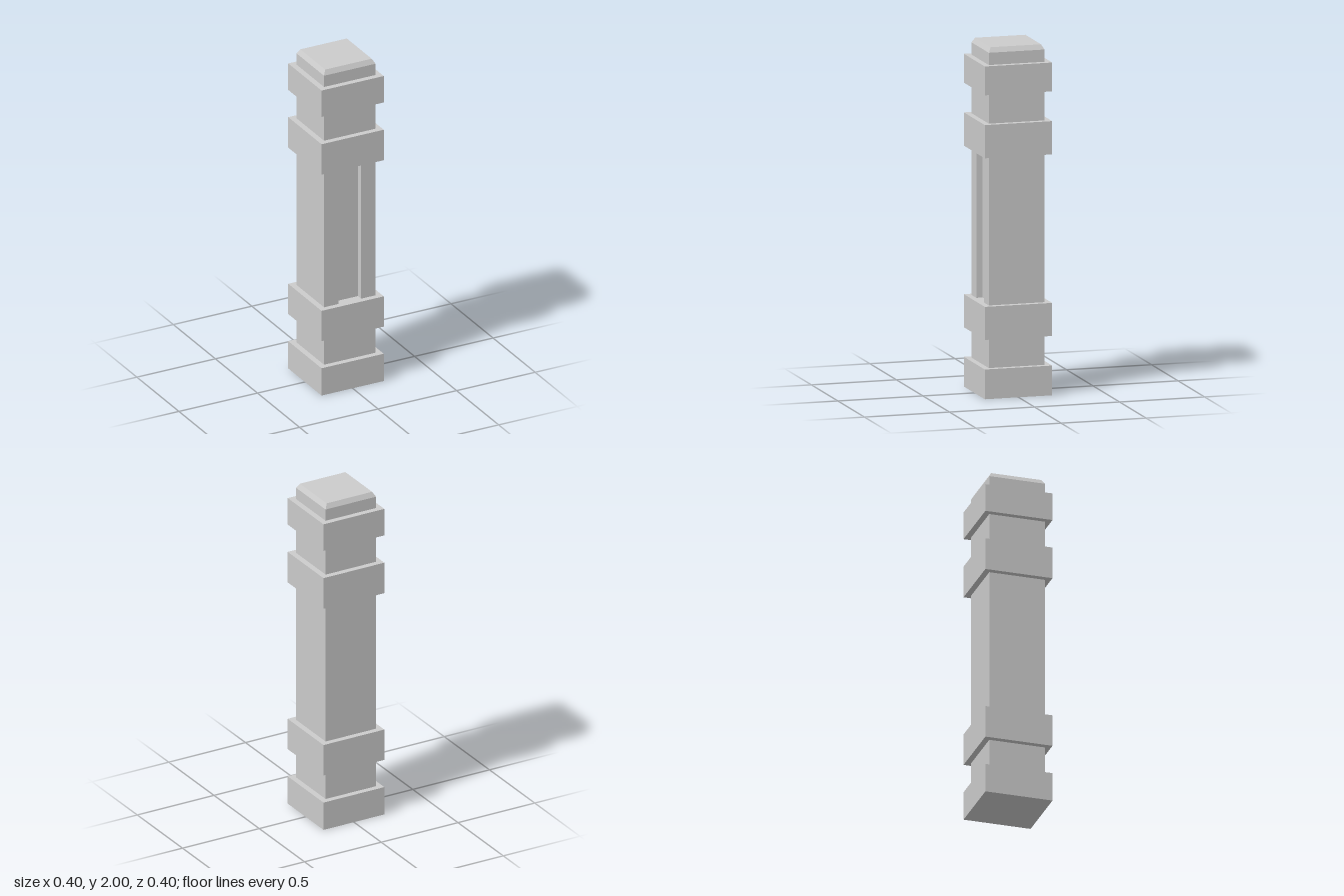
import * as THREE from 'three';

const material = new THREE.MeshStandardMaterial({ color: 0xcccccc, flatShading: true });
const BAND = 0.198; // half width of the projecting bands
const CORE = 0.164; // half width of the shaft, necks and cap

export function createModel() {
  const group = new THREE.Group();
  group.name = 'pillar';

  const add = (name, geometry, y) => {
    const mesh = new THREE.Mesh(geometry, material);
    mesh.name = name;
    mesh.position.y = y;
    group.add(mesh);
  };
  const addBlock = (name, half, y0, y1) =>
    add(name, new THREE.BoxGeometry(half * 2, y1 - y0, half * 2), (y0 + y1) / 2);

  // Stacked square blocks, bottom to top
  addBlock('base', BAND, 0, 0.17);
  addBlock('lowerNeck', CORE, 0.17, 0.339);
  addBlock('lowerBand', BAND, 0.339, 0.528);
  addBlock('upperBand', BAND, 1.377, 1.567);
  addBlock('upperNeck', CORE, 1.567, 1.737);
  addBlock('topBand', BAND, 1.737, 1.902);
  addBlock('cap', CORE, 1.902, 1.972);

  // Shaft with a vertical groove in the front face (shape y becomes -z)
  const groove = 0.072, floor = CORE - 0.038;
  const section = new THREE.Shape([
    [-CORE, CORE], [-CORE, -CORE], [-groove, -CORE], [-groove, -floor],
    [groove, -floor], [groove, -CORE], [CORE, -CORE], [CORE, CORE],
  ].map(([x, y]) => new THREE.Vector2(x, y)));
  const shaft = new THREE.ExtrudeGeometry(section, { depth: 1.377 - 0.528, bevelEnabled: false });
  shaft.rotateX(-Math.PI / 2);
  add('groovedShaft', shaft, 0.528);

  // Bevelled top of the cap: a four-sided frustum turned square to the axes
  const bevel = new THREE.CylinderGeometry(0.148 * Math.SQRT2, CORE * Math.SQRT2, 0.028, 4);
  bevel.rotateY(Math.PI / 4);
  add('capBevel', bevel, 1.986);

  return group;
}
